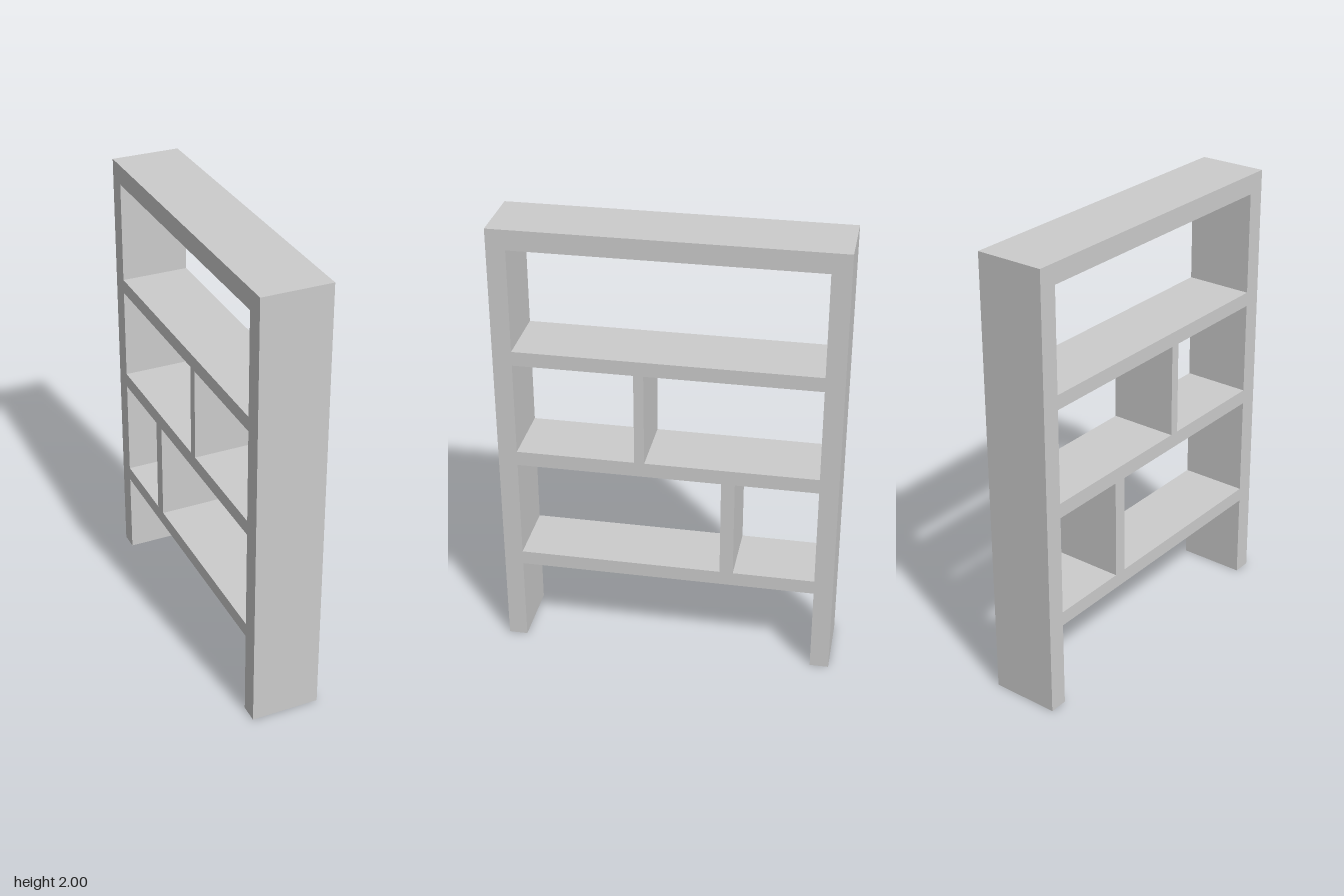
import * as THREE from 'three';

export function createModel() {
  const group = new THREE.Group();
  const material = new THREE.MeshStandardMaterial({ color: 0xcccccc, flatShading: true });
  const depth = 0.305;

  // A board running the full depth (x), given its y and z limits
  const board = (name, y0, y1, z0, z1) => {
    const mesh = new THREE.Mesh(new THREE.BoxGeometry(depth, y1 - y0, z1 - z0), material);
    mesh.position.set(0, (y0 + y1) / 2, (z0 + z1) / 2);
    mesh.name = name;
    group.add(mesh);
  };

  const outer = 0.739, inner = 0.656, topUnderside = 1.912;

  // Outer frame: two uprights and the top between them
  board('frontUpright', 0, 2, inner, outer);
  board('backUpright', 0, 2, -outer, -inner);
  board('topBoard', topUnderside, 2, -inner, inner);

  // Shelves as [underside, upper face]
  const shelves = [[0.392, 0.456], [0.908, 0.974], [1.392, 1.456]];
  const names = ['lowerShelf', 'middleShelf', 'upperShelf'];
  shelves.forEach(([y0, y1], i) => board(names[i], y0, y1, -inner, inner));

  // Dividers standing between neighbouring shelves
  board('lowerDivider', shelves[0][1], shelves[1][0], -0.297, -0.238);
  board('upperDivider', shelves[1][1], shelves[2][0], 0.095, 0.138);

  return group;
}
